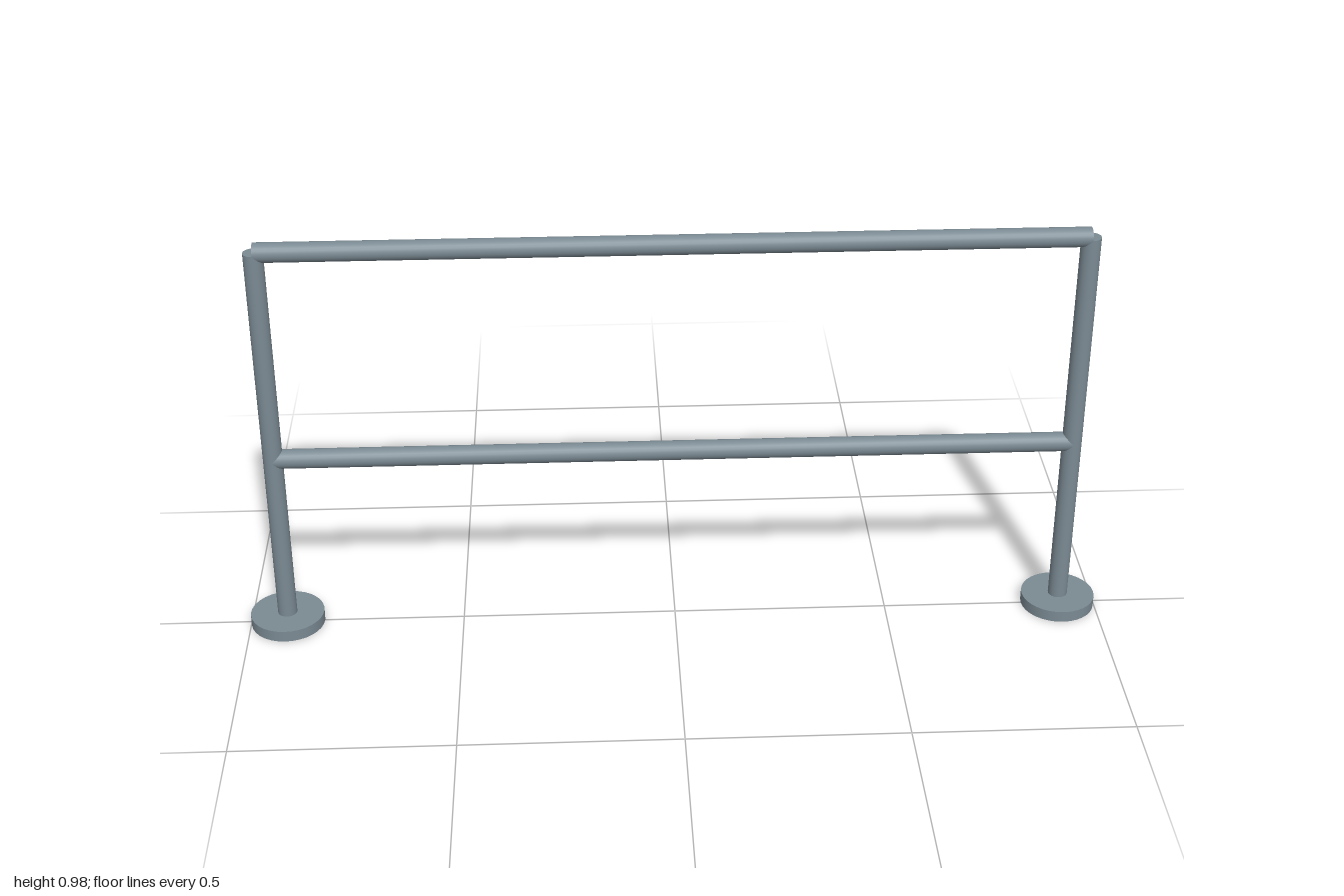
import * as THREE from 'three';

const POST_X = 0.914;
const TUBE_R = 0.0225;
const BASE_R = 0.086;
const BASE_H = 0.027;
const TOP_Y = 0.96;
const MID_Y = 0.443;

export function createModel() {
  const model = new THREE.Group();
  model.name = 'guardRail';

  const steel = new THREE.MeshStandardMaterial({ color: 0x7b8a93 });
  steel.name = 'greySteel';

  const add = (name, geometry, x, y) => {
    const mesh = new THREE.Mesh(geometry, steel);
    mesh.name = name;
    mesh.position.set(x, y, 0);
    model.add(mesh);
  };

  // Upright posts on round floor flanges
  const post = new THREE.CylinderGeometry(TUBE_R, TUBE_R, TOP_Y - BASE_H, 24);
  const flange = new THREE.CylinderGeometry(BASE_R, BASE_R, BASE_H, 32);
  for (const [side, s] of [['left', 1], ['right', -1]]) {
    add(side + 'Post', post, s * POST_X, (TOP_Y + BASE_H) / 2);
    add(side + 'BaseFlange', flange, s * POST_X, BASE_H / 2);
  }

  // Horizontal rails running between the post centres
  const rail = new THREE.CylinderGeometry(TUBE_R, TUBE_R, POST_X * 2, 24).rotateZ(Math.PI / 2);
  add('topRail', rail, 0, TOP_Y);
  add('middleRail', rail, 0, MID_Y);

  return model;
}
